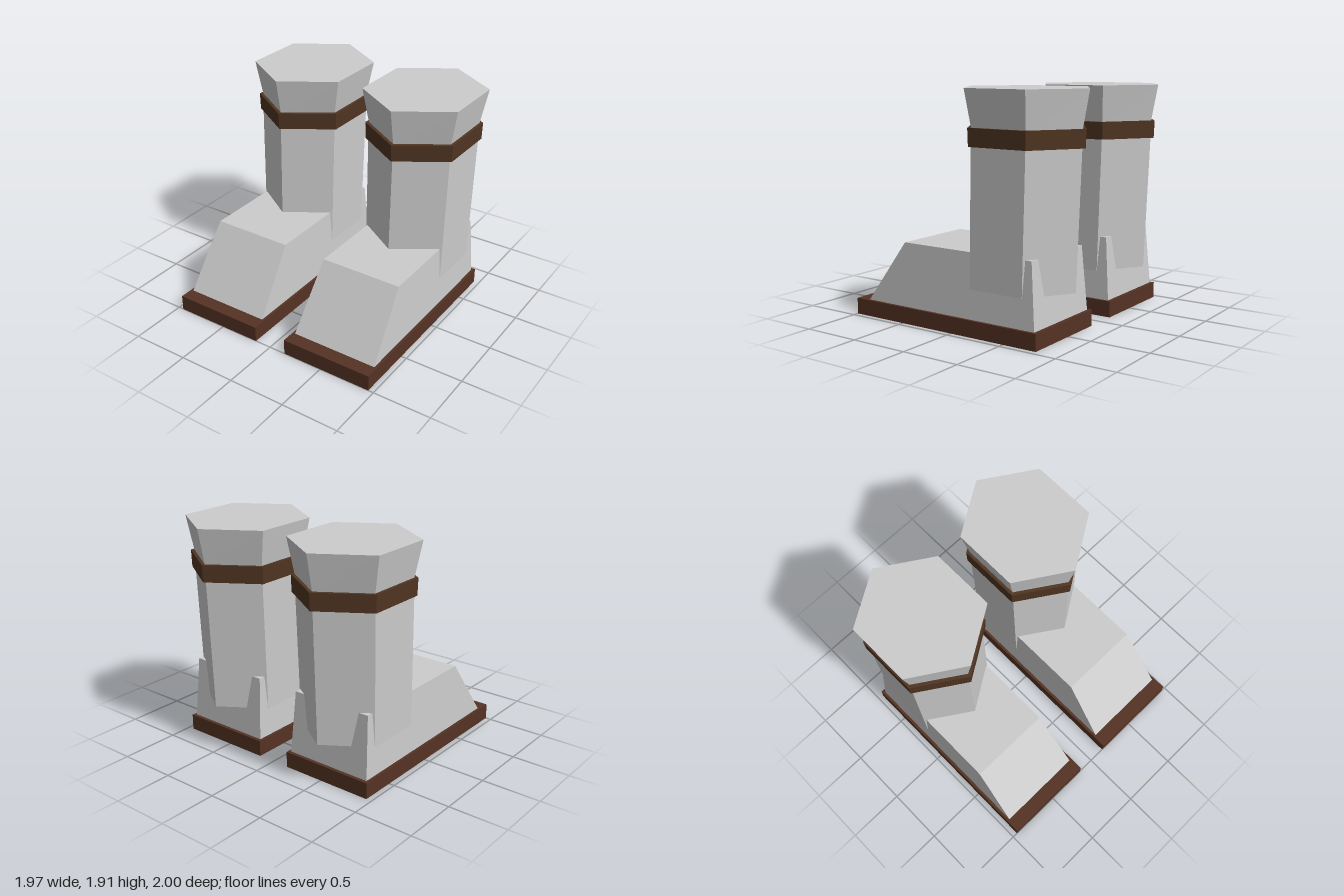
import * as THREE from 'three';

const grey = new THREE.MeshStandardMaterial({ color: 0xcccccc, flatShading: true });
const soleBrown = new THREE.MeshStandardMaterial({ color: 0x553323, flatShading: true });
const strapBrown = new THREE.MeshStandardMaterial({ color: 0x503522, flatShading: true });

// Closed solid through horizontal rings of [x, y, z] corners, counterclockwise seen from above
function loft(name, rings, material) {
  const n = rings[0].length;
  const pos = [];
  const tri = (a, b, c) => pos.push(...a, ...b, ...c);
  for (let r = 0; r < rings.length - 1; r++) {
    const lo = rings[r], hi = rings[r + 1];
    for (let i = 0; i < n; i++) {
      const j = (i + 1) % n;
      tri(lo[i], lo[j], hi[j]);
      tri(lo[i], hi[j], hi[i]);
    }
  }
  const bottom = rings[0], top = rings[rings.length - 1];
  for (let i = 1; i < n - 1; i++) {
    tri(top[0], top[i], top[i + 1]);
    tri(bottom[0], bottom[i + 1], bottom[i]);
  }
  const geo = new THREE.BufferGeometry();
  geo.setAttribute('position', new THREE.Float32BufferAttribute(pos, 3));
  geo.computeVertexNormals();
  const mesh = new THREE.Mesh(geo, material);
  mesh.name = name;
  return mesh;
}

// Hexagon with corners at front and back: centre z, radius along z, half width along x
function hexRing(y, cz, rz, hx) {
  return Array.from({ length: 6 }, (_, i) => {
    const a = (i * Math.PI) / 3;
    return [(Math.sin(a) / Math.sin(Math.PI / 3)) * hx, y, cz + Math.cos(a) * rz];
  });
}

function rectRing(y, hx, front, back) {
  return [[hx, y, front], [hx, y, back], [-hx, y, back], [-hx, y, front]];
}

function createBoot(name) {
  const boot = new THREE.Group();
  boot.name = name;

  // Flat sole
  const sole = new THREE.Mesh(new THREE.BoxGeometry(0.806, 0.135, 1.8), soleBrown);
  sole.name = 'sole';
  sole.position.set(0, 0.0675, 0.1);

  boot.add(
    sole,
    // Foot block with sloping toe
    loft('foot', [rectRing(0.01, 0.386, 0.97, -0.78), rectRing(0.66, 0.355, 0.5, -0.73)], grey),
    // Leg shaft leaning slightly back
    loft('shaft', [hexRing(0.37, -0.41, 0.485, 0.37), hexRing(1.6, -0.447, 0.497, 0.382)], grey),
    // Ankle strap and flared cuff
    loft('strap', [hexRing(1.472, -0.447, 0.521, 0.402), hexRing(1.615, -0.447, 0.527, 0.405)], strapBrown),
    loft('cuff', [hexRing(1.59, -0.447, 0.49, 0.376), hexRing(1.91, -0.45, 0.55, 0.433)], grey)
  );
  return boot;
}

export function createModel() {
  const model = new THREE.Group();
  model.name = 'boots';
  for (const [name, x] of [['leftBoot', 0.55], ['rightBoot', -0.55]]) {
    const boot = createBoot(name);
    boot.position.x = x;
    model.add(boot);
  }
  return model;
}
